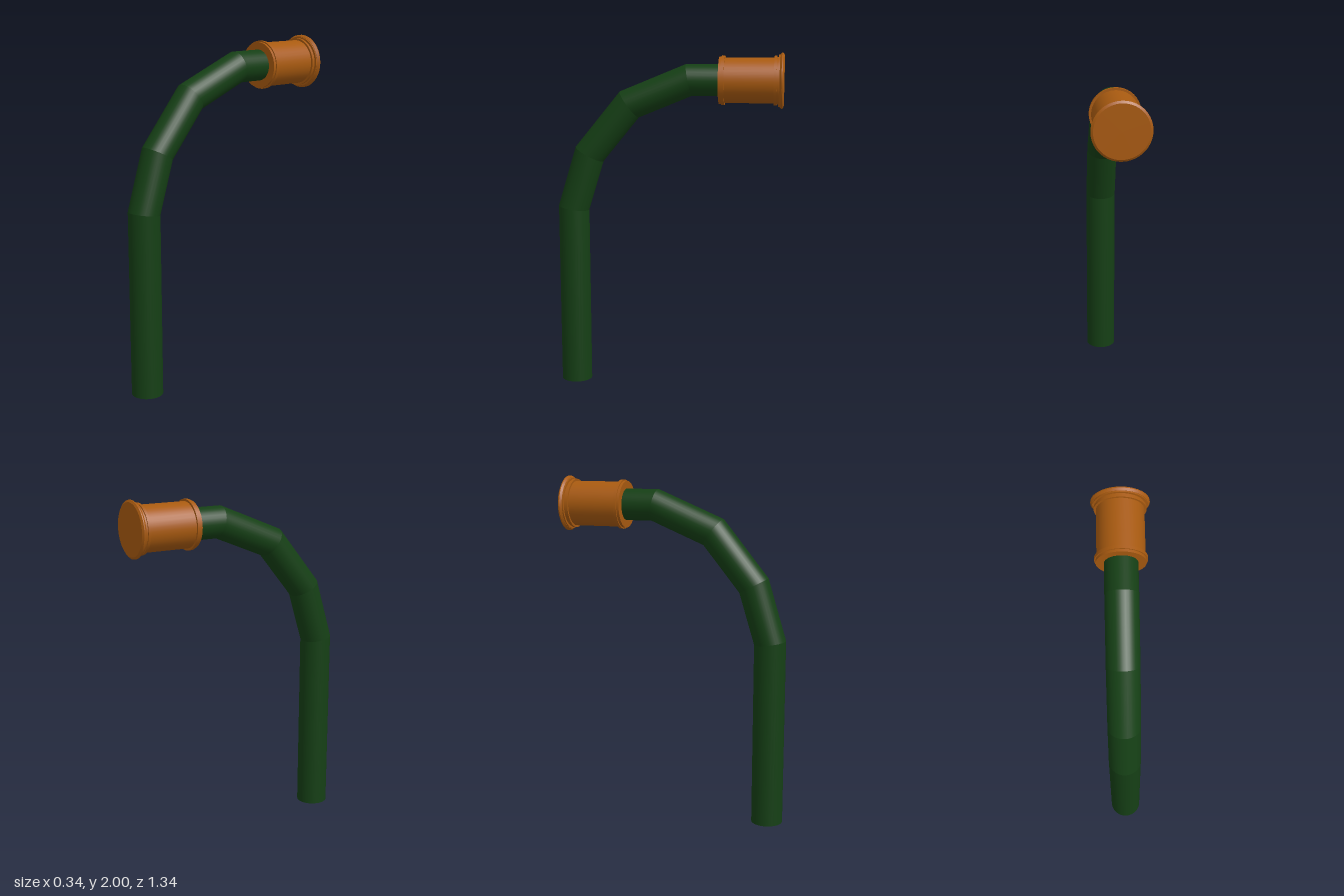
import * as THREE from 'three';

const GREEN = 0x153f15, ORANGE = 0xa85a10;
const PIPE_R = 0.091;

// Straight pipe length with both ends sheared to the mitre planes it shares with its neighbours
function mitredPipe(a, b, angle, turnBefore, turnAfter, closed, material) {
  const length = Math.hypot(b[0] - a[0], b[1] - a[1]);
  const geo = new THREE.CylinderGeometry(PIPE_R, PIPE_R, length, 32, 1, !closed);
  const p = geo.attributes.position;
  for (let i = 0; i < p.count; i++) {
    const slope = p.getY(i) > 0 ? Math.tan(turnAfter / 2) : -Math.tan(turnBefore / 2);
    p.setY(i, p.getY(i) + p.getZ(i) * slope);
  }
  const mesh = new THREE.Mesh(geo, material);
  mesh.rotation.x = -angle;
  mesh.position.set(0, (a[1] + b[1]) / 2, (a[0] + b[0]) / 2);
  return mesh;
}

// Round fitting along z from [z, radius] points; each band has its own normals so edges stay sharp
function turned(name, profile, material) {
  const part = new THREE.Group();
  part.name = name;
  for (let i = 0; i < profile.length - 1; i++) {
    const band = [profile[i], profile[i + 1]].map(([z, r]) => new THREE.Vector2(r, -z));
    const geo = new THREE.LatheGeometry(band, 40);
    geo.rotateX(-Math.PI / 2);
    const mesh = new THREE.Mesh(geo, material);
    mesh.name = name + 'Band';
    part.add(mesh);
  }
  return part;
}

export function createModel() {
  const model = new THREE.Group();
  model.name = 'bentPipe';
  const green = new THREE.MeshStandardMaterial({ color: GREEN, side: THREE.DoubleSide });
  const orange = new THREE.MeshStandardMaterial({ color: ORANGE, side: THREE.DoubleSide });

  // Centre line as [z, y]: upright, then a four-step bend towards the back
  const path = [[0.58, 0], [0.58, 1.075], [0.48, 1.4], [0.24, 1.695], [-0.11, 1.84], [-0.31, 1.84]];
  const angles = path.slice(1).map((b, i) => Math.atan2(path[i][0] - b[0], b[1] - path[i][1]));
  const pipe = new THREE.Group();
  pipe.name = 'pipe';
  angles.forEach((angle, i) => {
    const before = i > 0 ? angle - angles[i - 1] : 0;
    const after = i < angles.length - 1 ? angles[i + 1] - angle : 0;
    const seg = mitredPipe(path[i], path[i + 1], angle, before, after, i === 0, green);
    seg.name = i === 0 ? 'uprightPipe' : 'bendSegment';
    pipe.add(seg);
  });

  // End fitting: barrel, collars at each end and a bevelled end disc
  const fitting = new THREE.Group();
  fitting.name = 'endFitting';
  fitting.position.y = 1.84;
  fitting.add(
    turned('barrel', [[-0.285, 0], [-0.285, 0.13], [-0.645, 0.13]], orange),
    turned('frontCollar', [[-0.285, 0.13], [-0.285, 0.135], [-0.3, 0.135], [-0.3, 0.142], [-0.318, 0.142], [-0.318, 0.13]], orange),
    turned('rearCollar', [[-0.6, 0.13], [-0.6, 0.142], [-0.615, 0.142], [-0.615, 0.135], [-0.625, 0.135], [-0.625, 0.148], [-0.635, 0.148], [-0.635, 0.13]], orange),
    turned('endDisc', [[-0.632, 0.13], [-0.632, 0.15], [-0.643, 0.16], [-0.649, 0.16], [-0.657, 0.148], [-0.657, 0]], orange)
  );

  // The bend plane is turned slightly about the vertical
  model.add(pipe, fitting);
  model.children.forEach((part) => {
    part.rotation.y = -0.07;
    part.position.x = -0.041;
  });
  return model;
}
